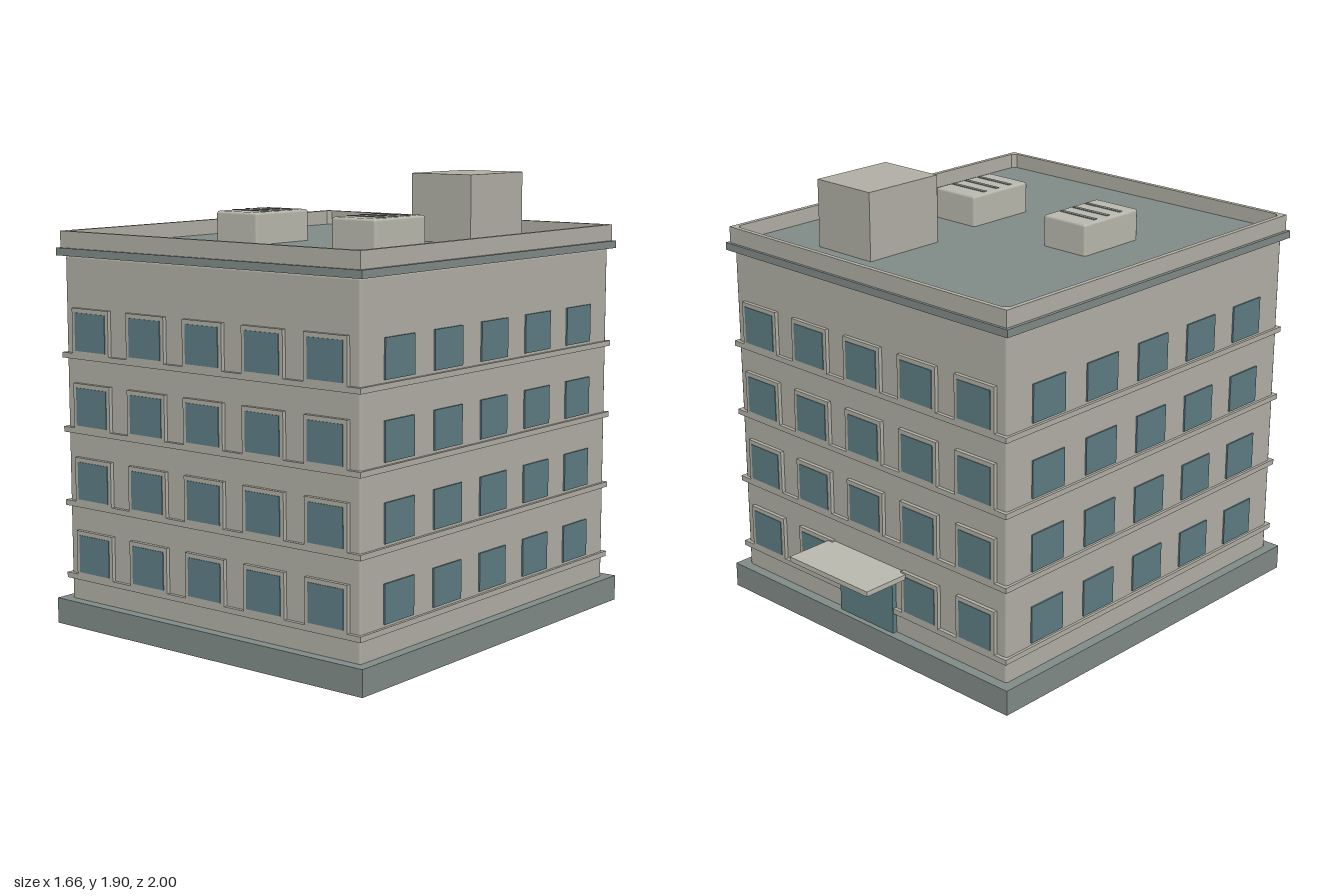
import * as THREE from 'three';
import { RoundedBoxGeometry } from 'three/addons/geometries/RoundedBoxGeometry.js';

const mat = (color) => new THREE.MeshStandardMaterial({ color });
const WALL = mat(0xb0aea4), SLATE = mat(0x808a87), GLASS = mat(0x5c7c83), LIGHT = mat(0xb8b8ad);

// Half sizes of the walls, first sill height and storey height
const HX = 0.785, HZ = 0.862, SILL = 0.235, STOREY = 0.315, FLOORS = 4, BAYS = 5;

function add(parent, name, geometry, material, x = 0, y = 0, z = 0) {
  const mesh = new THREE.Mesh(geometry, material);
  mesh.name = name;
  mesh.position.set(x, y, z);
  parent.add(mesh);
  return mesh;
}

// Box given by its width, bottom, top and depth
function slab(parent, name, material, w, y0, y1, d, x = 0, z = 0) {
  return add(parent, name, new THREE.BoxGeometry(w, y1 - y0, d), material, x, (y0 + y1) / 2, z);
}

// Rectangle outline with optional cut corners
function outline(path, hx, hz, c = 0) {
  const pts = [[hx, -hz + c], [hx, hz - c], [hx - c, hz], [-hx + c, hz], [-hx, hz - c],
    [-hx, -hz + c], [-hx + c, -hz], [hx - c, -hz]];
  return path.setFromPoints(pts.map(([x, y]) => new THREE.Vector2(x, y)));
}

// Upright rectangular ring around the building
function ring(parent, name, material, hx, hz, innerX, innerZ, y0, y1, cut = 0) {
  const shape = outline(new THREE.Shape(), hx, hz);
  shape.holes.push(outline(new THREE.Path(), innerX, innerZ, cut));
  const geometry = new THREE.ExtrudeGeometry(shape, { depth: y1 - y0, bevelEnabled: false });
  geometry.rotateX(-Math.PI / 2);
  return add(parent, name, geometry, material, 0, y0, 0);
}

// Window on a wall plane at z = 0, facing +z, with its sill at y = 0
function makeWindow(width, framed) {
  const g = new THREE.Group();
  g.name = 'window';
  const h = 0.16;
  if (framed) {
    const t = 0.018, d = 0.034;
    for (const s of [-1, 1]) slab(g, 'frameSide', WALL, t, -0.015, h, d, s * (width + t) / 2);
    slab(g, 'frameTop', WALL, width + 2 * t, h, h + t, d);
    slab(g, 'frameBottom', WALL, width, -0.015, 0, d);
  }
  slab(g, 'glass', GLASS, width, 0, h, framed ? 0.04 : 0.014);
  return g;
}

export function createModel() {
  const model = new THREE.Group();
  const building = new THREE.Group();
  building.name = 'building';
  building.position.z = 0.093;
  model.add(building);

  // Walls, plinth, cornice, parapet and roof
  add(building, 'walls', new RoundedBoxGeometry(2 * HX, 1.575, 2 * HZ, 1, 0.012), WALL, 0, 0.7875, 0);
  ring(building, 'plinth', SLATE, 0.83, 0.907, HX - 0.01, HZ - 0.01, 0, 0.11);
  slab(building, 'cornice', SLATE, 1.622, 1.573, 1.605, 1.776);
  ring(building, 'parapet', WALL, 0.796, 0.876, 0.775, 0.855, 1.605, 1.675, 0.018);
  slab(building, 'roof', SLATE, 1.56, 1.6, 1.61, 1.72);

  // Ledges and windows on every floor
  for (let f = 0; f < FLOORS; f++) {
    const y = SILL + f * STOREY;
    ring(building, 'ledge', WALL, HX + 0.012, HZ + 0.016, HX - 0.01, HZ - 0.01, y - 0.035, y - 0.012);
    for (let b = 0; b < BAYS; b++) {
      const u = (b - (BAYS - 1) / 2) * 0.314;
      for (const side of [1, -1]) {
        const isDoorBay = side < 0 && f === 0 && b === 2;
        if (!isDoorBay) {
          const w = makeWindow(0.175, true);
          w.position.set(u, y, side * HZ);
          w.rotation.y = side > 0 ? 0 : Math.PI;
          building.add(w);
        }
        const sideWindow = makeWindow(0.185, false);
        sideWindow.position.set(side * HX, y, u);
        sideWindow.rotation.y = side * Math.PI / 2;
        building.add(sideWindow);
      }
    }
  }

  // Back entrance
  slab(model, 'door', GLASS, 0.32, 0.11, 0.385, 0.04, 0, -0.77);
  slab(model, 'canopy', LIGHT, 0.47, 0.384, 0.406, 0.235, 0, -0.8825);

  // Stair house
  slab(model, 'stairHouse', WALL, 0.31, 1.605, 1.9, 0.385, 0.31, -0.383);

  // Rooftop air units with vent slots
  for (const x of [-0.315, 0.315]) {
    const unit = new THREE.Group();
    unit.name = 'airUnit';
    unit.position.set(x, 1.6, 0.245);
    add(unit, 'casing', new RoundedBoxGeometry(0.23, 0.145, 0.338, 1, 0.012), LIGHT, 0, 0.0725, 0);
    for (const z of [-0.08, 0, 0.08]) slab(unit, 'vent', SLATE, 0.188, 0.14, 0.148, 0.018, 0, z);
    model.add(unit);
  }
  return model;
}
